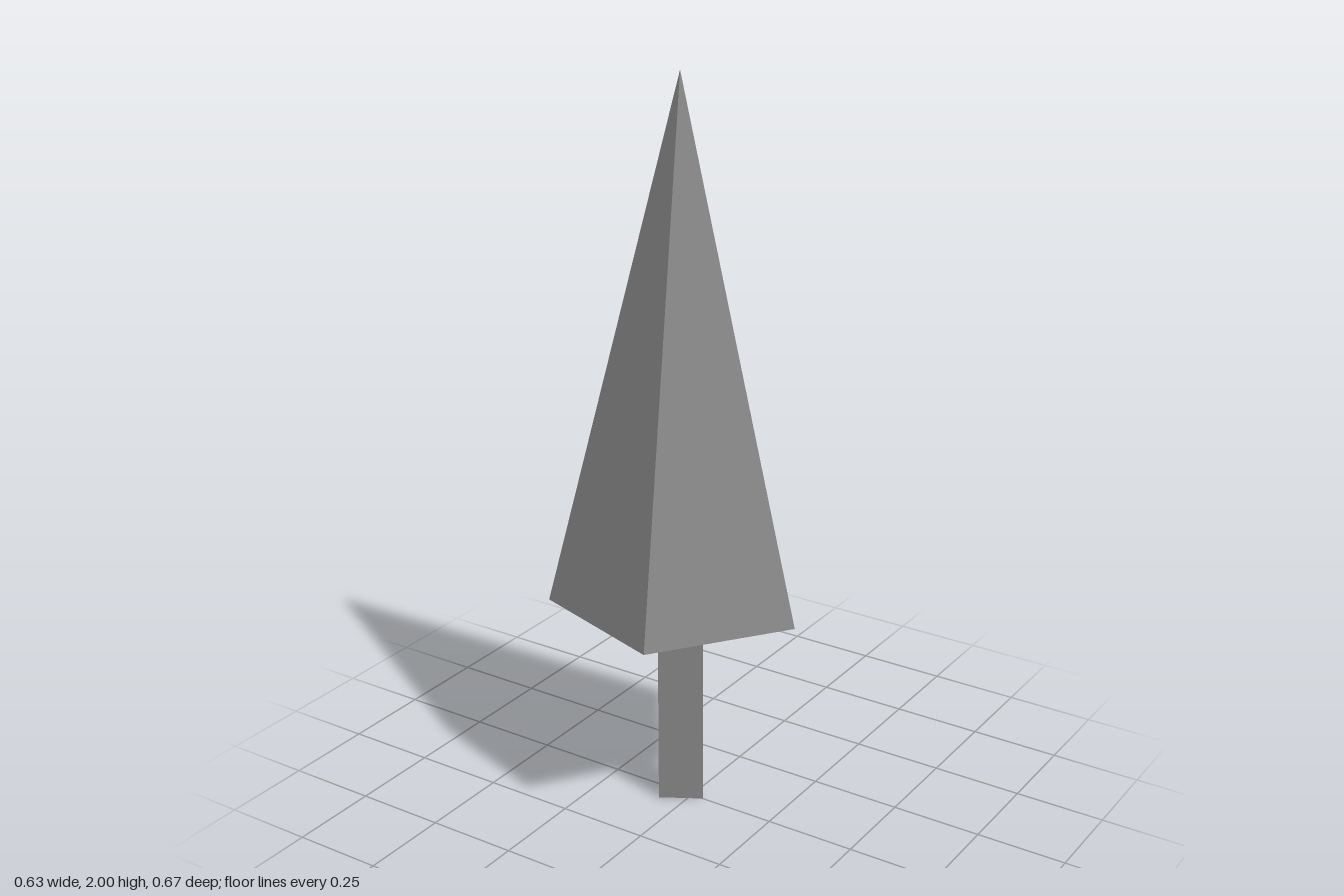
import * as THREE from 'three';

const AXIS_X = -0.034; // the pentagon's centre sits left of its bounding box centre
const CROWN_BASE = 0.597;

export function createModel() {
  const group = new THREE.Group();
  const material = new THREE.MeshStandardMaterial({ color: 0x878787, flatShading: true });

  // Upright prism or cone with its first corner pointing to +x
  function addPart(name, topRadius, bottomRadius, sides, bottom, top) {
    const geometry = new THREE.CylinderGeometry(
      topRadius, bottomRadius, top - bottom, sides, 1, false, Math.PI / 2);
    const mesh = new THREE.Mesh(geometry, material);
    mesh.name = name;
    mesh.position.set(AXIS_X, (bottom + top) / 2, 0);
    group.add(mesh);
  }

  addPart('trunk', 0.07, 0.07, 3, 0, CROWN_BASE); // three-sided stem
  addPart('foliage', 0, 0.351, 5, CROWN_BASE, 2); // five-sided pointed crown

  return group;
}
